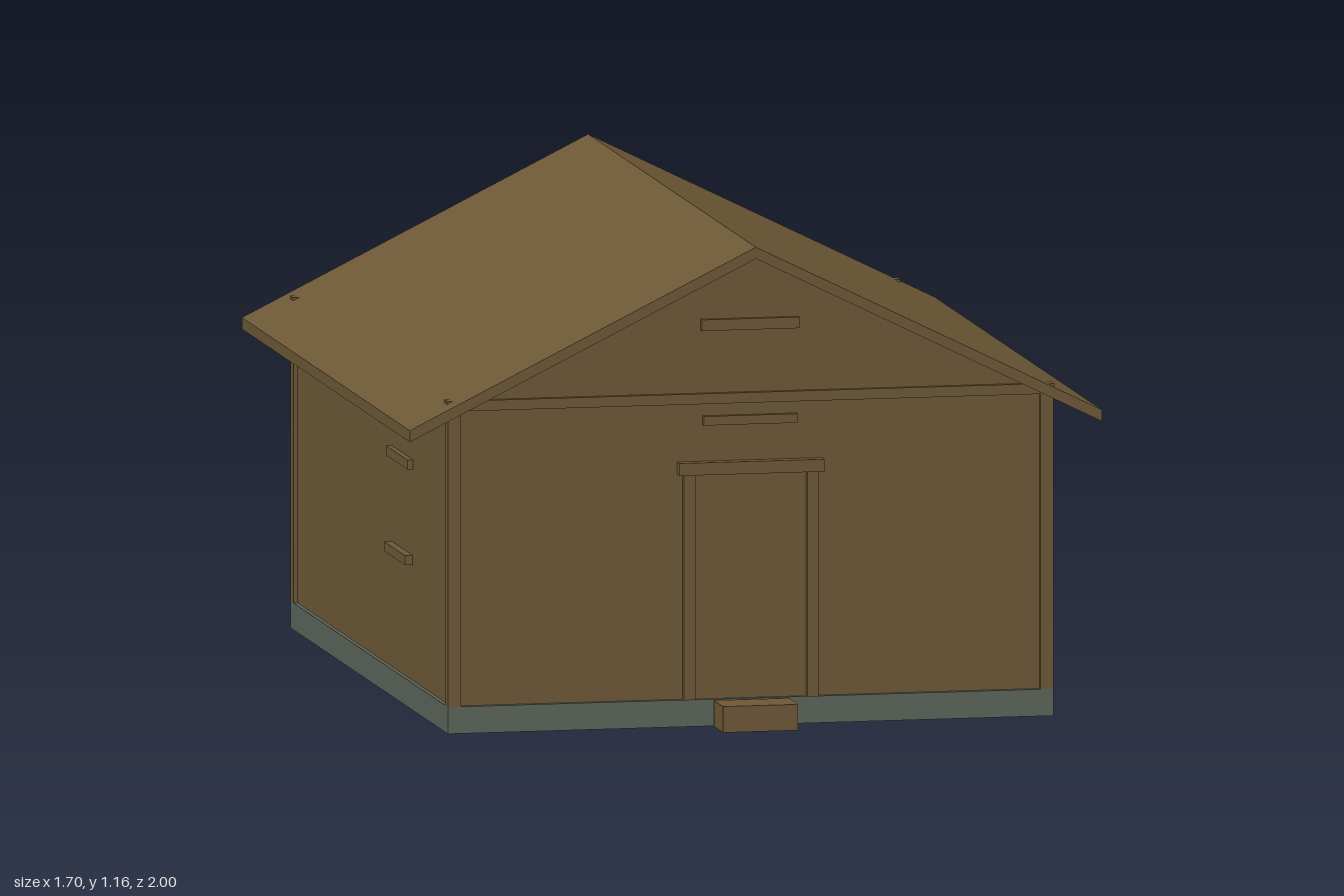
import * as THREE from 'three';

const wood = new THREE.MeshStandardMaterial({ color: 0x6e5937 });
wood.name = 'brown wood';
const stone = new THREE.MeshStandardMaterial({ color: 0x5c665b });
stone.name = 'grey stone';

export function createModel() {
  const house = new THREE.Group();
  house.name = 'cabin';

  // Box given by its limits on each axis
  function box(name, x0, x1, y0, y1, z0, z1, material = wood) {
    const mesh = new THREE.Mesh(new THREE.BoxGeometry(x1 - x0, y1 - y0, z1 - z0), material);
    mesh.position.set((x0 + x1) / 2, (y0 + y1) / 2, (z0 + z1) / 2);
    mesh.name = name;
    house.add(mesh);
  }

  // Outline in x and y, drawn out along z
  function prism(name, points, z0, z1) {
    const shape = new THREE.Shape(points.map(([x, y]) => new THREE.Vector2(x, y)));
    const geometry = new THREE.ExtrudeGeometry(shape, { depth: z1 - z0, bevelEnabled: false });
    geometry.translate(0, 0, z0);
    const mesh = new THREE.Mesh(geometry, wood);
    mesh.name = name;
    house.add(mesh);
  }

  // Open-bottomed box with thin sides and a top
  function tray(name, x, top, z0, z1, material) {
    const t = 0.005;
    box(name + 'Top', -x, x, top - t, top, z0, z1, material);
    box(name + 'Front', -x, x, 0, top - t, z1 - t, z1, material);
    box(name + 'Back', -x, x, 0, top - t, z0, z0 + t, material);
    for (const s of [-1, 1]) {
      const a = s * x, b = s * (x - t);
      box(name + 'Side', Math.min(a, b), Math.max(a, b), 0, top - t, z0 + t, z1 - t, material);
    }
  }

  // Foundation and doorstep
  tray('foundation', 0.742, 0.065, -0.937, 0.885, stone);
  tray('step', 0.092, 0.063, 0.893, 1.0, wood);

  // Walls with gables
  prism('walls', [[-0.732, 0.065], [0.732, 0.065], [0.732, 0.775], [0, 1.138], [-0.732, 0.775]], -0.928, 0.872);

  // Roof
  prism('roof', [
    [-0.848, 0.718], [0, 1.137], [0.848, 0.718],
    [0.848, 0.746], [0, 1.165], [-0.848, 0.746],
  ], -1, 0.945);

  // Tie beam across the front gable
  box('tieBeam', -0.744, 0.744, 0.78, 0.805, 0.85, 0.885);

  for (const s of [-1, 1]) {
    // Mirrored box on the left or right side
    const side = (name, a, b, ...rest) =>
      box(name, s > 0 ? a : -b, s > 0 ? b : -a, ...rest);

    // Corner posts and rear beam ends
    side('frontPost', 0.71, 0.742, 0.065, 0.78, 0.85, 0.885);
    side('backPost', 0.71, 0.742, 0.065, 0.775, -0.937, -0.902);
    side('rearBeamEnd', 0.728, 0.744, 0.78, 0.805, -0.937, -0.9);

    // Door jambs
    side('doorJamb', 0.137, 0.165, 0.065, 0.61, 0.865, 0.892);

    // Rails on the side walls
    side('upperRail', 0.725, 0.746, 0.577, 0.6, 0.185, 0.435);
    side('lowerRail', 0.725, 0.751, 0.345, 0.368, 0.19, 0.43);
  }

  // Door and lintel
  box('door', -0.137, 0.137, 0.065, 0.61, 0.865, 0.876);
  box('doorLintel', -0.178, 0.178, 0.61, 0.64, 0.865, 0.9);

  // Trim boards on the front
  box('lowerTrim', -0.115, 0.115, 0.728, 0.75, 0.865, 0.885);
  box('gableTrim', -0.12, 0.12, 0.957, 0.984, 0.865, 0.885);

  // Small stone strip by the left rear post
  box('stoneStrip', 0.73, 0.741, 0.1, 0.26, -0.902, -0.893, stone);

  return house;
}
